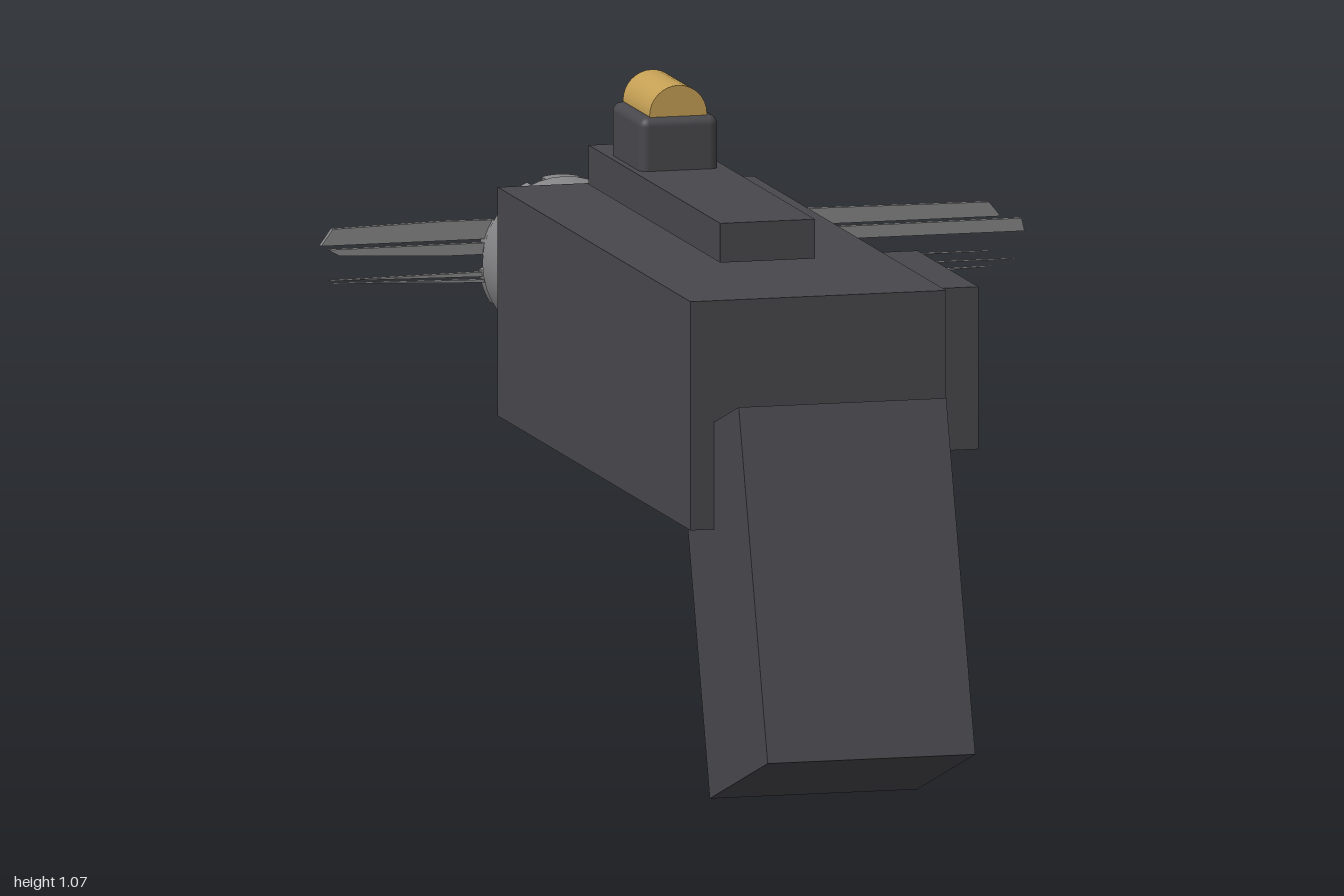
import * as THREE from 'three';
import { RoundedBoxGeometry } from 'three/addons/geometries/RoundedBoxGeometry.js';

export function createModel() {
  const model = new THREE.Group();
  model.name = 'toyBlaster';
  const mat = (name, color, extra = {}) => {
    const m = new THREE.MeshStandardMaterial({ color, ...extra });
    m.name = name;
    return m;
  };
  const dark = mat('darkGrey', 0x48474b);
  const steel = mat('steelGrey', 0x868688);
  const gold = mat('brass', 0xc5a055);
  const CX = -0.19; // centre line of the blaster

  const add = (name, geometry, material, x = 0, y = 0, z = 0, parent = model) => {
    const mesh = new THREE.Mesh(geometry, material);
    mesh.name = name;
    mesh.position.set(x, y, z);
    parent.add(mesh);
    return mesh;
  };
  // Box from its lower and upper limits
  const box = (name, x0, x1, y0, y1, z0, z1) =>
    add(name, new THREE.BoxGeometry(x1 - x0, y1 - y0, z1 - z0), dark,
      (x0 + x1) / 2, (y0 + y1) / 2, (z0 + z1) / 2);

  box('body', -0.412, 0.034, 0.47, 0.86, -0.57, 0.66);
  box('topRail', -0.27, -0.105, 0.868, 0.935, -0.51, 0.33);
  box('sidePod', 0.05, 0.189, 0.525, 0.802, -0.09, 0.298);

  // Raked grip
  const grip = add('grip', new THREE.BoxGeometry(0.362, 0.607, 0.388), dark, CX, 0.355, 0.725);
  grip.rotation.x = -0.31;

  // Trigger guard ring, upper half buried in the body
  const guard = add('triggerGuard', new THREE.TorusGeometry(0.155, 0.019, 12, 40), dark, CX, 0.425, 0.355);
  guard.rotation.y = Math.PI / 2;

  // Sight block with a brass roller on top
  add('sightBlock', new RoundedBoxGeometry(0.137, 0.11, 0.192, 3, 0.016), dark, CX, 0.971, -0.315);
  const roller = add('sightRoller', new THREE.CylinderGeometry(0.05, 0.05, 0.17, 32), gold, CX, 1.028, -0.315);
  roller.rotation.x = Math.PI / 2;

  // Barrel
  const barrel = add('barrel', new THREE.CylinderGeometry(0.142, 0.142, 0.4, 40), steel, CX, 0.665, -0.76);
  barrel.rotation.x = Math.PI / 2;

  // Castellated muzzle rim
  const rim = new THREE.Group();
  rim.name = 'muzzleRim';
  rim.position.set(CX, 0.665, -0.99);
  model.add(rim);
  const lugs = 10;
  for (let i = 0; i < lugs; i++) {
    const mid = Math.PI / 2 + (i / lugs) * Math.PI * 2;
    const half = (Math.PI / lugs) * 0.7;
    const s = new THREE.Shape();
    s.absarc(0, 0, 0.141, mid - half, mid + half, false);
    s.absarc(0, 0, 0.115, mid + half, mid - half, true);
    add('muzzleLug', new THREE.ExtrudeGeometry(s, { depth: 0.032, bevelEnabled: false, curveSegments: 6 }),
      steel, 0, 0, 0, rim);
  }

  // Thin blades sweeping sideways across the muzzle
  const blades = [
    [[-0.59, 0.732], [-0.4, 0.737], [0.555, 0.729], [0.575, 0.704], [-0.61, 0.704]],
    [[-0.6, 0.698], [0.61, 0.7], [0.615, 0.678], [-0.4, 0.679], [-0.58, 0.687]],
    [[-0.6, 0.644], [-0.19, 0.65], [0.56, 0.645], [-0.19, 0.638]],
    [[-0.59, 0.64], [-0.19, 0.634], [0.6, 0.631], [-0.19, 0.626]],
    [[-0.19, 0.61], [0.56, 0.619], [0.19, 0.602], [-0.19, 0.59]],
  ];
  blades.forEach((pts, i) => {
    const s = new THREE.Shape(pts.map(([x, y]) => new THREE.Vector2(x, y)));
    add('muzzleBlade', new THREE.ExtrudeGeometry(s, { depth: 0.012, bevelEnabled: false }),
      steel, 0, 0, -0.983 + (i % 2) * 0.006);
  });

  return model;
}
